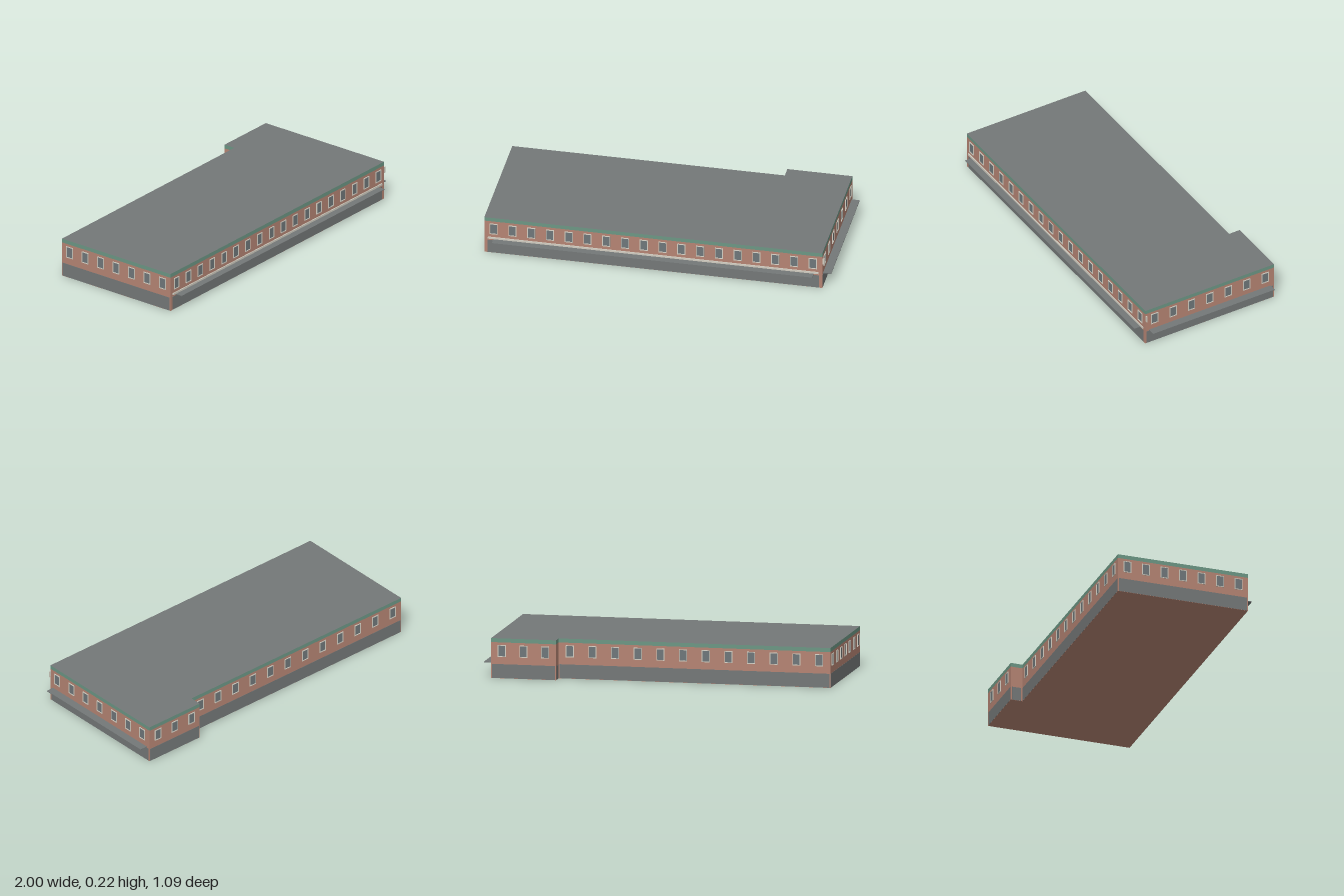
import * as THREE from 'three';

const mat = (name, color) => {
  const m = new THREE.MeshStandardMaterial({ color });
  m.name = name;
  return m;
};

export function createModel() {
  const brick = mat('brick', 0xb58473);
  const grey = mat('grey', 0x747878);
  const green = mat('green trim', 0x6c9684);
  const cream = mat('cream', 0xd2cec2);
  const glass = mat('window glass', 0x6f777a);

  const model = new THREE.Group();
  model.name = 'building';

  // Footprint corners (x, z), running so that each wall's outside is on its right
  const corners = [
    [-0.905, 0.506], [0.957, 0.267], [0.852, -0.545],
    [0.493, -0.5], [0.502, -0.433], [-1, -0.24],
  ];
  const footprint = new THREE.Shape(corners.map(([x, z]) => new THREE.Vector2(x, -z)));

  const slab = (name, y0, y1, material) => {
    const g = new THREE.ExtrudeGeometry(footprint, { depth: y1 - y0, bevelEnabled: false });
    g.rotateX(-Math.PI / 2);
    const mesh = new THREE.Mesh(g, material);
    mesh.name = name;
    mesh.position.y = y0;
    model.add(mesh);
  };
  slab('brickWalls', 0, 0.198, brick);
  slab('roofAndTrim', 0.198, 0.22, [grey, green]);

  // Box spanning u0..u1 along a wall, y0..y1 in height, z0..z1 outward
  const box = (parent, name, material, u0, u1, y0, y1, z0, z1) => {
    const mesh = new THREE.Mesh(new THREE.BoxGeometry(u1 - u0, y1 - y0, z1 - z0), material);
    mesh.name = name;
    mesh.position.set((u0 + u1) / 2, (y0 + y1) / 2, (z0 + z1) / 2);
    parent.add(mesh);
  };

  // Window surround: a rectangular ring
  const W = 0.045, H = 0.066, edge = 0.004;
  const rect = (Type, w, h) => new Type([
    new THREE.Vector2(-w / 2, -h / 2), new THREE.Vector2(w / 2, -h / 2),
    new THREE.Vector2(w / 2, h / 2), new THREE.Vector2(-w / 2, h / 2),
  ]);
  const ring = rect(THREE.Shape, W, H);
  ring.holes.push(rect(THREE.Path, W - 2 * edge, H - 2 * edge));
  const frameGeo = new THREE.ExtrudeGeometry(ring, { depth: 0.004, bevelEnabled: false });
  const glassGeo = new THREE.BoxGeometry(W - 2 * edge, H - 2 * edge, 0.002);

  // Walls: window count and width of the brick strip left at each end of the base
  const walls = [
    ['frontWall', 18, 0.018], ['leftWall', 7, 0.008], ['backWingWall', 3, 0.005],
    ['notchWall', 0, 0.008], ['backWall', 12, 0.005], ['rightWall', 7, 0.006],
  ];
  walls.forEach(([name, count, strip], i) => {
    const [ax, az] = corners[i];
    const [bx, bz] = corners[(i + 1) % corners.length];
    const length = Math.hypot(bx - ax, bz - az);
    const wall = new THREE.Group();
    wall.name = name;
    wall.position.set(ax, 0, az);
    wall.rotation.y = Math.atan2(az - bz, bx - ax);
    model.add(wall);

    box(wall, 'basePanel', grey, strip, length - strip, 0.001, 0.078, -0.001, 0.001);

    for (let k = 0; k < count; k++) {
      const win = new THREE.Group();
      win.name = 'window';
      win.position.set((length * (k + 0.5)) / count, 0.151, 0);
      const frame = new THREE.Mesh(frameGeo, cream);
      frame.name = 'windowFrame';
      const pane = new THREE.Mesh(glassGeo, glass);
      pane.name = 'windowPane';
      win.add(frame, pane);
      wall.add(win);
    }

    if (name === 'frontWall') {
      box(wall, 'frontCanopy', grey, 0.05, length - 0.048, 0.081, 0.085, 0, 0.041);
      box(wall, 'frontFascia', cream, 0.02, length - 0.02, 0.088, 0.099, 0, 0.005);
    }
    if (name === 'leftWall') {
      box(wall, 'sideCanopy', grey, 0.022, length - 0.022, 0.081, 0.085, 0, 0.045);
      // Small blade sign by the front corner
      box(wall, 'bladeSign', cream, 0.002, 0.006, 0.15, 0.186, 0, 0.013);
    }
  });

  return model;
}
